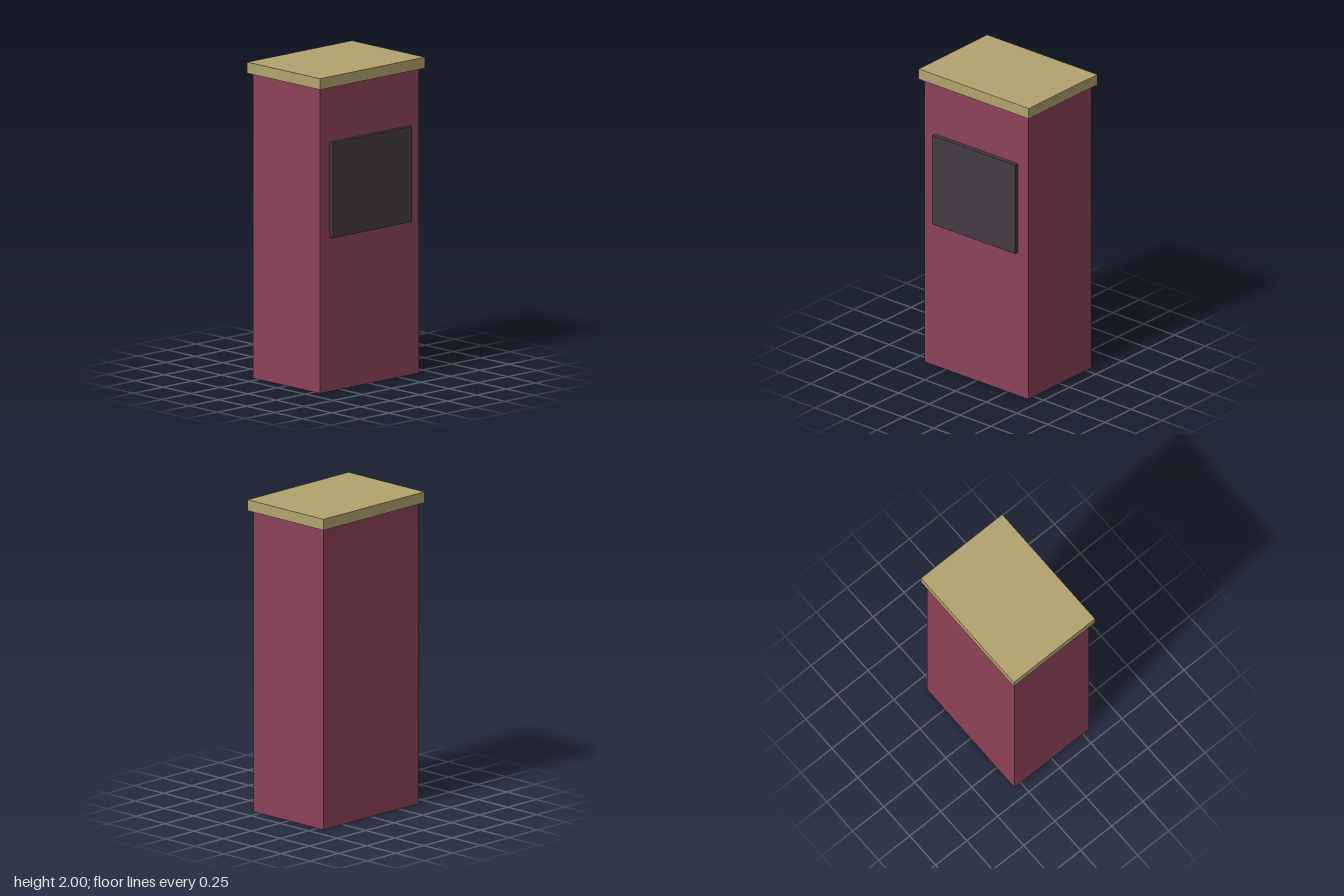
import * as THREE from 'three';

const material = (name, color) => {
  const m = new THREE.MeshStandardMaterial({ color });
  m.name = name;
  return m;
};

export function createModel() {
  const model = new THREE.Group();
  model.name = 'cabinet';

  const maroon = material('maroon', 0x8e4258);
  const tan = material('tan', 0xb2a36e);
  const charcoal = material('charcoal', 0x423c42);

  // Adds a box given its size, the height of its underside and its z centre
  const addBox = (name, mat, [w, h, d], bottom, z = 0) => {
    const mesh = new THREE.Mesh(new THREE.BoxGeometry(w, h, d), mat);
    mesh.name = name;
    mesh.position.set(0, bottom + h / 2, z);
    model.add(mesh);
  };

  // Tall cabinet body
  addBox('body', maroon, [0.842, 1.93, 0.6], 0);
  // Overhanging top slab
  addBox('topSlab', tan, [0.894, 0.07, 0.654], 1.93);
  // Raised panel on the front face
  addBox('frontPanel', charcoal, [0.674, 0.605, 0.028], 0.975, 0.314);

  return model;
}
